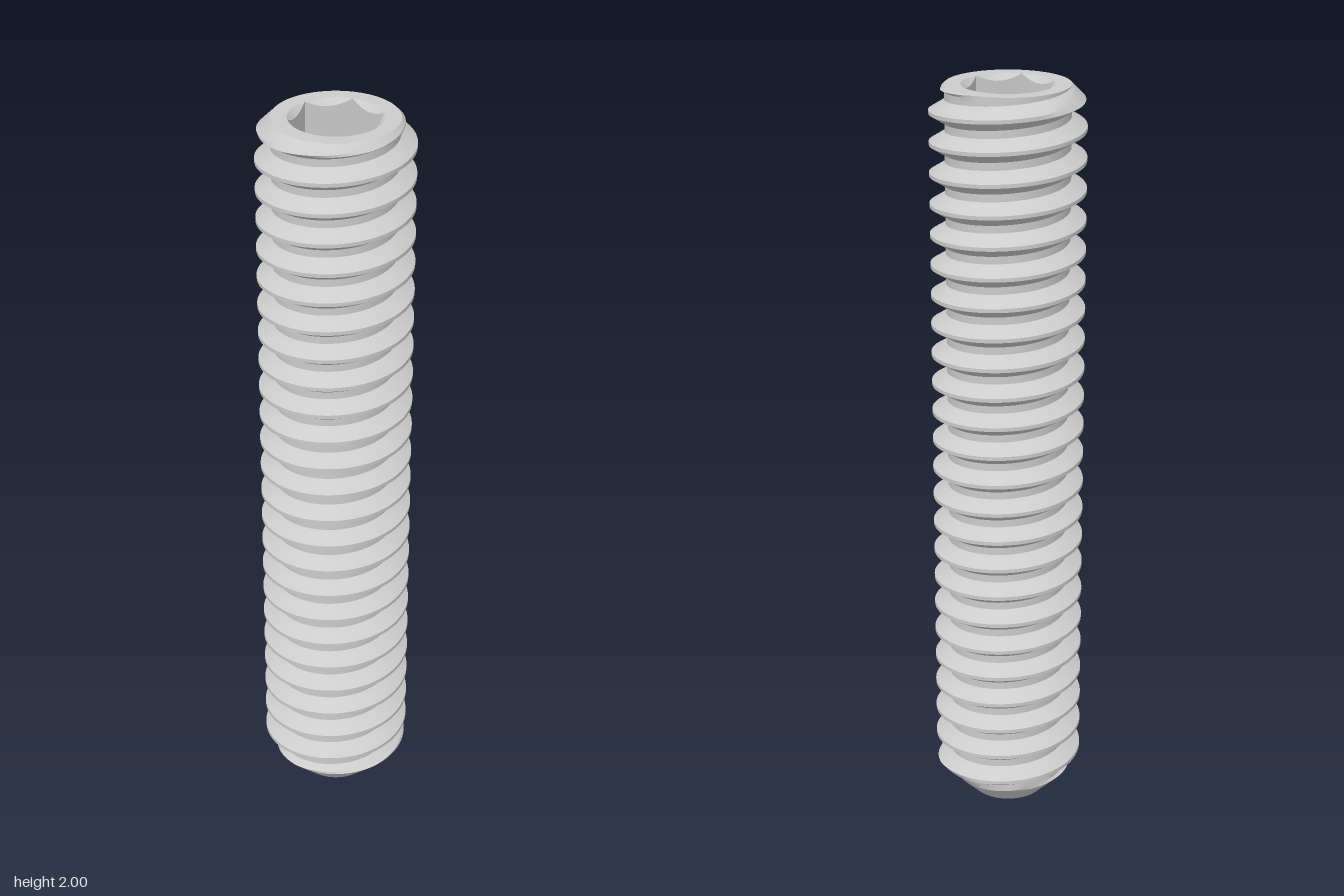
import * as THREE from 'three';
import { toCreasedNormals } from 'three/addons/utils/BufferGeometryUtils.js';

const TOP = 2, PITCH = 0.08, MAJOR = 0.2, MINOR = 0.16;
const CUP_R = 0.1, CUP_DEPTH = 0.06;
const SOCKET_R = 0.119, SOCKET_DEPTH = 0.2;
const TAU = Math.PI * 2;

// Surface swept round the y axis; at(row, angle) returns [radius, height].
function sweep(rows, cols, at) {
  const pos = [];
  const a = new THREE.Vector3(), b = new THREE.Vector3(), c = new THREE.Vector3();
  const point = (v, i, j) => {
    const angle = (j / cols) * TAU;
    const [r, y] = at(i, angle);
    return v.set(r * Math.cos(angle), y, -r * Math.sin(angle));
  };
  const triangle = (p, q, s) => {
    point(a, ...p); point(b, ...q); point(c, ...s);
    const area = b.clone().sub(a).cross(c.clone().sub(a)).length();
    if (area > 1e-9) pos.push(...a.toArray(), ...b.toArray(), ...c.toArray());
  };
  for (let i = 0; i < rows - 1; i++) {
    for (let j = 0; j < cols; j++) {
      triangle([i, j], [i, j + 1], [i + 1, j + 1]);
      triangle([i, j], [i + 1, j + 1], [i + 1, j]);
    }
  }
  const geo = new THREE.BufferGeometry();
  geo.setAttribute('position', new THREE.Float32BufferAttribute(pos, 3));
  // Enlarged while creasing so that close vertices stay distinct.
  geo.scale(100, 100, 100);
  return toCreasedNormals(geo, 0.5).scale(0.01, 0.01, 0.01);
}

// One pitch of thread as [share of pitch, radius], from crest to crest.
function threadProfile() {
  const profile = [[-0.0625, MAJOR], [0.0625, MAJOR]];
  const steps = 4;
  for (let s = 1; s <= steps; s++) {
    const t = s / steps;
    profile.push([0.0625 + 0.3125 * t, MAJOR + (MINOR - MAJOR) * t]);
  }
  for (let s = 0; s < steps; s++) {
    const t = s / steps;
    profile.push([0.625 + 0.3125 * t, MINOR + (MAJOR - MINOR) * t]);
  }
  return profile;
}

export function createModel() {
  const group = new THREE.Group();
  const material = new THREE.MeshStandardMaterial({ color: 0xcccccc });
  const add = (name, geometry) => {
    const mesh = new THREE.Mesh(geometry, material);
    mesh.name = name;
    group.add(mesh);
  };

  // Right-hand threaded shank, cut by the point cone and the top chamfer
  const profile = threadProfile();
  const turns = 29, firstCrest = 1.92 - 26 * PITCH;
  add('threadedShank', sweep(turns * profile.length, 96, (i, angle) => {
    const turn = Math.floor(i / profile.length);
    const [share, radius] = profile[i % profile.length];
    const helix = firstCrest + PITCH * (turn + share + angle / TAU);
    const y = THREE.MathUtils.clamp(helix, 0, TOP);
    return [Math.min(radius, CUP_R + y, MINOR + TOP - y), y];
  }));

  // Hollow cup in the point
  const cup = [[0, CUP_DEPTH], [CUP_R, 0]];
  add('cupPoint', sweep(2, 96, (i) => cup[i]));

  // Top face, countersink, hexagonal walls and socket floor
  add('hexSocket', sweep(5, 96, (i, angle) => {
    const sector = (angle % (Math.PI / 3)) - Math.PI / 6;
    const hex = SOCKET_R * Math.cos(Math.PI / 6) / Math.cos(sector);
    return [
      [MINOR, TOP],
      [SOCKET_R, TOP],
      [hex, TOP - (SOCKET_R - hex)],
      [hex, TOP - SOCKET_DEPTH],
      [0, TOP - SOCKET_DEPTH],
    ][i];
  }));

  return group;
}
